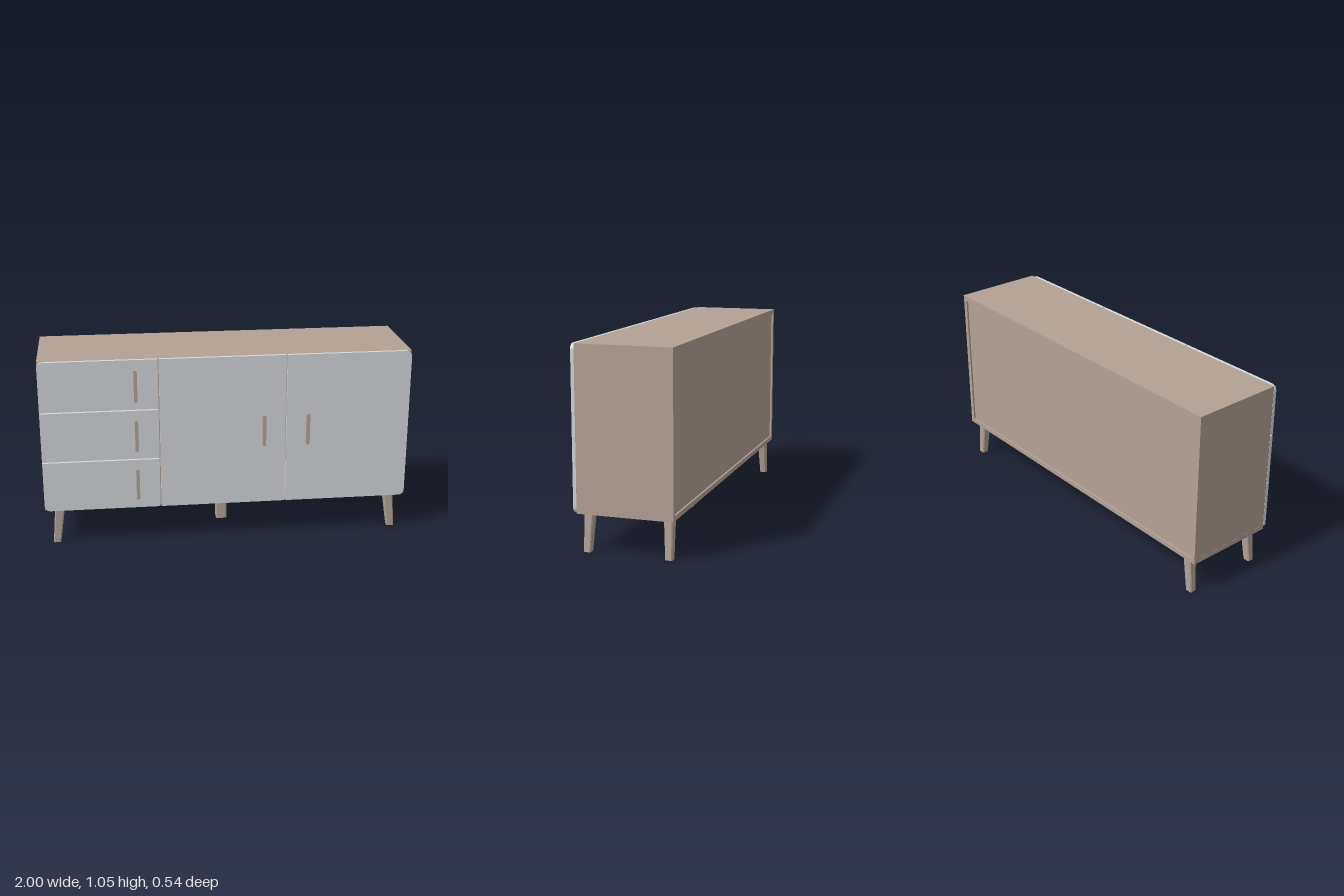
import * as THREE from 'three';

export function createModel() {
  const model = new THREE.Group();
  const wood = new THREE.MeshStandardMaterial({ color: 0xb3a295 });
  wood.name = 'greyBrownWood';
  const paint = new THREE.MeshStandardMaterial({ color: 0xd3d6da });
  paint.name = 'paleGreyPaint';

  const add = (name, geometry, material) => {
    const mesh = new THREE.Mesh(geometry, material);
    mesh.name = name;
    model.add(mesh);
    return mesh;
  };

  // Box given by its limits on each axis
  const box = (name, [x0, x1], [y0, y1], [z0, z1], material = wood) => {
    const mesh = add(name, new THREE.BoxGeometry(x1 - x0, y1 - y0, z1 - z0), material);
    mesh.position.set((x0 + x1) / 2, (y0 + y1) / 2, (z0 + z1) / 2);
  };

  // Cabinet carcass with a slightly recessed back
  const bottom = 0.205, top = 1.047, back = -0.27, face = 0.232;
  box('topPanel', [-1, 1], [1.018, top], [back, face]);
  box('bottomPanel', [-1, 1], [bottom, 0.231], [back, face]);
  box('leftSide', [0.973, 0.999], [0.231, 1.018], [back, face]);
  box('rightSide', [-0.999, -0.973], [0.231, 1.018], [back, face]);
  box('backPanel', [-0.973, 0.973], [0.231, 1.018], [-0.26, -0.245]);
  box('drawerDivider', [-0.38, -0.355], [0.231, 1.018], [-0.245, face]);

  // Front plate; radii run from bottom right, bottom left, top left, top right of the sheet
  const front = (name, x0, x1, y0, y1, [br, tr, tl, bl]) => {
    const s = new THREE.Shape();
    s.moveTo(x0 + bl, y0);
    s.lineTo(x1 - br, y0);
    if (br) s.quadraticCurveTo(x1, y0, x1, y0 + br);
    s.lineTo(x1, y1 - tr);
    if (tr) s.quadraticCurveTo(x1, y1, x1 - tr, y1);
    s.lineTo(x0 + tl, y1);
    if (tl) s.quadraticCurveTo(x0, y1, x0, y1 - tl);
    s.lineTo(x0, y0 + bl);
    if (bl) s.quadraticCurveTo(x0, y0, x0 + bl, y0);
    const g = new THREE.ExtrudeGeometry(s, { depth: 0.018, bevelEnabled: false, curveSegments: 6 });
    g.translate(0, 0, face);
    add(name, g, paint);
  };
  const r = 0.035;
  front('topDrawer', -1, -0.37, 0.772, top, [0, 0, r, 0]);
  front('middleDrawer', -1, -0.37, 0.491, 0.766, [0, 0, 0, 0]);
  front('bottomDrawer', -1, -0.37, bottom, 0.485, [0, 0, 0, r]);
  front('rightDoor', -0.364, 0.317, bottom, top, [0, 0, 0, 0]);
  front('leftDoor', 0.323, 1, bottom, top, [r, r, 0, 0]);

  // Upright bar handles
  const handles = [[-0.49, 0.907], [-0.49, 0.627], [-0.49, 0.348], [0.2, 0.628], [0.44, 0.628]];
  for (const [x, y] of handles) {
    box('handle', [x - 0.009, x + 0.009], [y - 0.087, y + 0.087], [0.25, 0.27]);
  }

  // Square leg with chamfered corners, lofted between two rectangles [x0, x1, z0, z1]
  const leg = (name, low, high) => {
    const ring = ([x0, x1, z0, z1], y) => {
      const c = 0.006;
      return [[x1, z0 + c], [x1, z1 - c], [x1 - c, z1], [x0 + c, z1],
        [x0, z1 - c], [x0, z0 + c], [x0 + c, z0], [x1 - c, z0]].map(([x, z]) => [x, y, z]);
    };
    const a = ring(low, 0), b = ring(high, bottom), p = [];
    for (let i = 0; i < 8; i++) {
      const j = (i + 1) % 8;
      p.push(...a[i], ...b[i], ...b[j], ...a[i], ...b[j], ...a[j]);
      if (i > 0 && i < 7) p.push(...a[0], ...a[i], ...a[j], ...b[0], ...b[j], ...b[i]);
    }
    const g = new THREE.BufferGeometry();
    g.setAttribute('position', new THREE.Float32BufferAttribute(p, 3));
    g.computeVertexNormals();
    add(name, g, wood);
  };

  // Splayed corner legs and a straight one in the middle
  const span = (side, a, b) => (side > 0 ? [a, b] : [-b, -a]);
  for (const side of [1, -1]) {
    leg('frontLeg', [...span(side, 0.923, 0.964), 0.177, 0.215], [...span(side, 0.893, 0.947), 0.166, 0.214]);
    leg('backLeg', [...span(side, 0.923, 0.964), -0.251, -0.213], [...span(side, 0.893, 0.947), -0.25, -0.202]);
  }
  const middle = [-0.036, 0.025, -0.053, 0.005];
  leg('middleLeg', middle, middle);

  return model;
}
